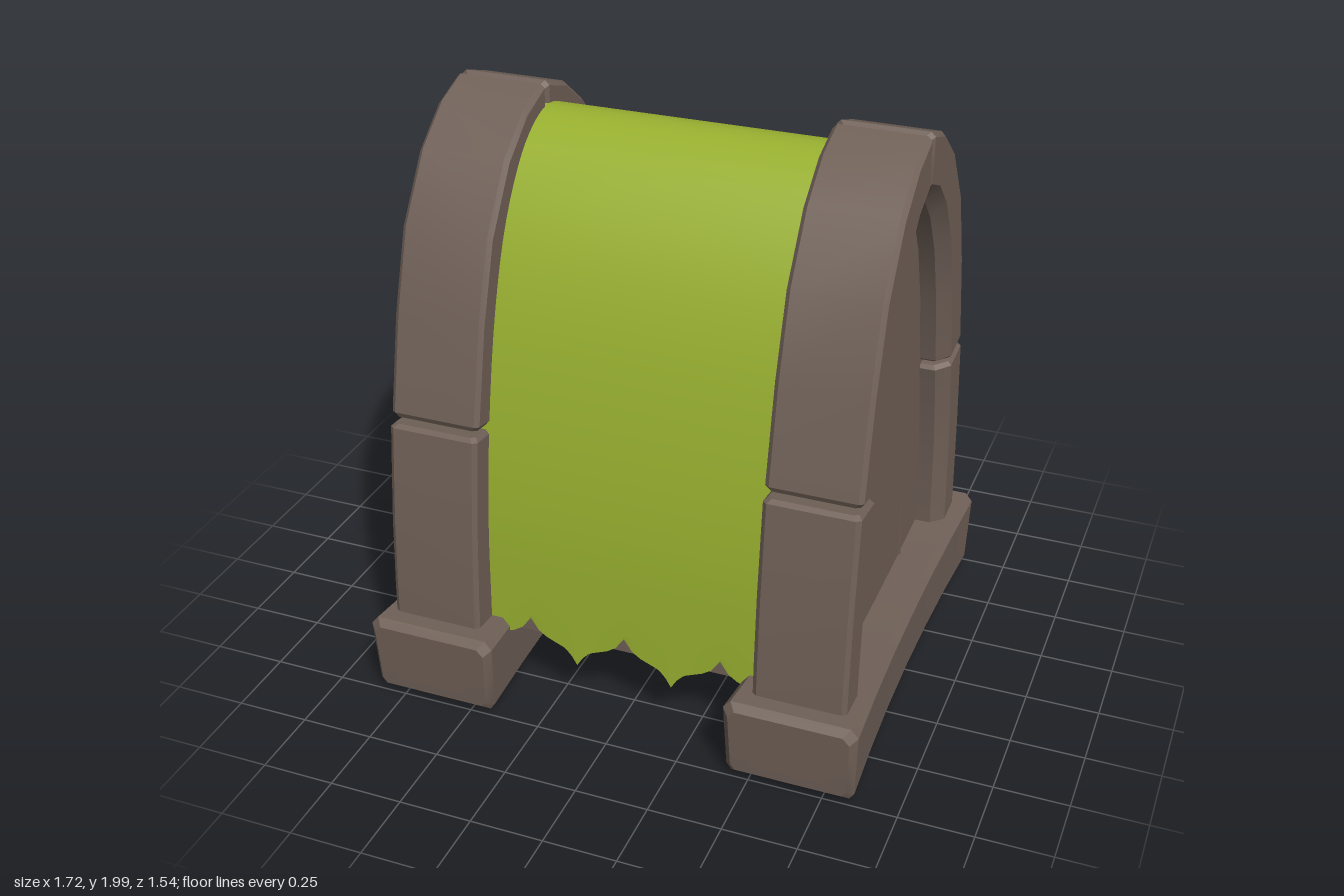
import * as THREE from 'three';
import { toCreasedNormals } from 'three/addons/utils/BufferGeometryUtils.js';

const V = (x, y, z) => new THREE.Vector3(x, y, z);
const stone = new THREE.MeshStandardMaterial({ color: 0x706158 });
stone.name = 'brown stone';
const cloth = new THREE.MeshStandardMaterial({ color: 0x98b030, side: THREE.DoubleSide });
cloth.name = 'green cloth';

// Closed solid through a row of equal-sized rings, always wound outwards.
function loft(rings) {
  const n = rings[0].length;
  const pos = [], idx = [];
  for (const p of rings.flat()) pos.push(p.x, p.y, p.z);
  for (let i = 0; i < rings.length - 1; i++) {
    for (let j = 0; j < n; j++) {
      const a = i * n + j, b = i * n + (j + 1) % n;
      idx.push(a, b, b + n, a, b + n, a + n);
    }
  }
  for (const end of [0, rings.length - 1]) {
    const c = pos.length / 3;
    const m = rings[end].reduce((s, p) => s.add(p), V(0, 0, 0)).divideScalar(n);
    pos.push(m.x, m.y, m.z);
    for (let j = 0; j < n; j++) {
      const a = end * n + j, b = end * n + (j + 1) % n;
      if (end) idx.push(c, a, b); else idx.push(c, b, a);
    }
  }
  const at = (i) => V(pos[i * 3], pos[i * 3 + 1], pos[i * 3 + 2]);
  let volume = 0;
  for (let i = 0; i < idx.length; i += 3) {
    volume += at(idx[i]).dot(at(idx[i + 1]).cross(at(idx[i + 2])));
  }
  if (volume < 0) idx.reverse();
  const g = new THREE.BufferGeometry();
  g.setAttribute('position', new THREE.Float32BufferAttribute(pos, 3));
  g.setIndex(idx);
  return toCreasedNormals(g, 0.45);
}

function add(group, name, geometry, material) {
  const mesh = new THREE.Mesh(geometry, material);
  mesh.name = name;
  group.add(mesh);
}

// Arch stone stations: outer z, outer y, inner z, inner y
const lowerStone = [
  [0.69, 0.2, 0.525, 0.2], [0.682, 0.4, 0.515, 0.4], [0.665, 0.65, 0.495, 0.65],
  [0.645, 0.83, 0.465, 0.82], [0.626, 0.998, 0.43, 0.975],
];
const upperStone = [
  [0.612, 1.016, 0.432, 0.99], [0.535, 1.36, 0.375, 1.26], [0.445, 1.63, 0.3, 1.475],
  [0.3, 1.84, 0.205, 1.635], [0.155, 1.95, 0.11, 1.73], [0.008, 2.0, 0.006, 1.78],
];
// Arch cross-section: x, then 0 at the inner edge to 1 at the outer edge
const archSection = [
  [0.785, 1], [0.8, 0.93], [0.8, 0.24], [0.755, 0], [0.5, 0], [0.485, 0.07], [0.485, 0.93], [0.5, 1],
];

function archStone(stations, sx, sz) {
  const ring = ([oz, oy, iz, iy], shrink) => archSection.map(([x, t]) => {
    const k = 0.5 + (t - 0.5) * shrink;
    const px = 0.6425 + (x - 0.6425) * (shrink < 1 ? 0.92 : 1);
    return V(sx * px, iy + (oy - iy) * k, sz * (iz + (oz - iz) * k));
  });
  // Each end steps in a little to give a chamfered joint
  const mix = (a, b, t) => a.map((v, i) => v + (b[i] - v) * t);
  const last = stations.length - 1;
  return loft([
    ring(stations[0], 0.86),
    ring(mix(stations[0], stations[1], 0.05), 1),
    ...stations.slice(1, last).map((s) => ring(s, 1)),
    ring(mix(stations[last], stations[last - 1], 0.08), 1),
    ring(stations[last], 0.86),
  ]);
}

// Foot block: waisted and sagging slightly towards the middle
function footBlock(sx) {
  const section = [
    [0.435, 0.01], [0.835, 0.01], [0.852, 0.035], [0.86, 0.27],
    [0.835, 0.3], [0.435, 0.3], [0.41, 0.27], [0.418, 0.035],
  ];
  const zs = [-0.77, -0.745, -0.5, -0.25, 0, 0.25, 0.5, 0.745, 0.77];
  return loft(zs.map((z, i) => {
    const end = i === 0 || i === zs.length - 1;
    const sag = Math.max(0, 1 - (z / 0.745) ** 2);
    return section.map(([x, y]) => {
      let px = x - Math.sign(x - 0.635) * 0.026 * sag;
      let py = y - (y > 0.15 ? 0.028 : 0.008) * sag;
      if (end) {
        px = 0.635 + (px - 0.635) * 0.9;
        py = 0.155 + (py - 0.155) * 0.84;
      }
      // Ends lean in towards the ground
      return V(sx * px, py, z * (0.977 + 0.085 * Math.min(py, 0.27)));
    });
  }));
}

// Vault profile as z, y; smooth from one eave over the ridge to the other
const half = [
  [0.585, 0.33], [0.572, 0.65], [0.525, 1.02], [0.44, 1.39],
  [0.335, 1.65], [0.2, 1.83], [0.09, 1.902],
];
const profile = new THREE.CatmullRomCurve3([
  ...half.map(([z, y]) => V(0, y, z)), V(0, 1.922, 0),
  ...half.slice().reverse().map(([z, y]) => V(0, y, -z)),
]).getPoints(56);

// Solid core, whose ends are the recessed walls
function core() {
  const eave = [V(0, 0.25, -0.565), V(0, 0.25, 0.565)];
  const inset = profile.map((p) => V(0, p.y - 0.012 * Math.max(0, (p.y - 0.9)), p.z * 0.97));
  const ring = [...inset, ...eave];
  return loft([-0.7, 0.7].map((x) => ring.map((p) => V(x, p.y, p.z))));
}

// Ragged hem height: notches every 0.34 with a pointed tip between them
const hemKeys = [[0, 0.315], [0.03, 0.272], [0.06, 0.252], [0.125, 0.226], [0.15, 0.2], [0.17, 0.168]];
function hem(x) {
  const d = Math.abs(x - Math.round(x / 0.34) * 0.34);
  for (let i = 1; i < hemKeys.length; i++) {
    const [a, ya] = hemKeys[i - 1], [b, yb] = hemKeys[i];
    if (d <= b + 1e-6) return ya + (yb - ya) * (d - a) / (b - a);
  }
  return 0.168;
}

function drape() {
  const cols = 104, rows = profile.length + 1;
  const g = new THREE.PlaneGeometry(1, 1, cols, rows);
  const p = g.attributes.position;
  for (let r = 0; r <= rows; r++) {
    for (let c = 0; c <= cols; c++) {
      const x = -0.52 + c * 0.01;
      const i = r * (cols + 1) + c;
      if (r === 0 || r === rows) {
        const y = hem(x);
        p.setXYZ(i, x, y, (r === 0 ? -1 : 1) * (0.584 + (0.3 - y) * 0.05));
      } else {
        const q = profile[profile.length - r];
        p.setXYZ(i, x, q.y, q.z);
      }
    }
  }
  g.computeVertexNormals();
  return g;
}

export function createModel() {
  const model = new THREE.Group();
  model.name = 'vaultedShelter';
  add(model, 'vaultCore', core(), stone);
  add(model, 'clothCover', drape(), cloth);
  for (const sx of [1, -1]) {
    const side = sx > 0 ? 'left' : 'right';
    add(model, side + 'FootBlock', footBlock(sx), stone);
    for (const sz of [1, -1]) {
      const end = sz > 0 ? 'Front' : 'Back';
      add(model, side + end + 'LowerArchStone', archStone(lowerStone, sx, sz), stone);
      add(model, side + end + 'UpperArchStone', archStone(upperStone, sx, sz), stone);
      // Narrow tapered plank ridge on the end wall
      const ridge = new THREE.CylinderGeometry(0.001, 0.008, 0.36, 4);
      ridge.translate(sx * 0.7, 0.43, sz * 0.295);
      add(model, side + end + 'PlankRidge', ridge, stone);
    }
  }
  return model;
}
